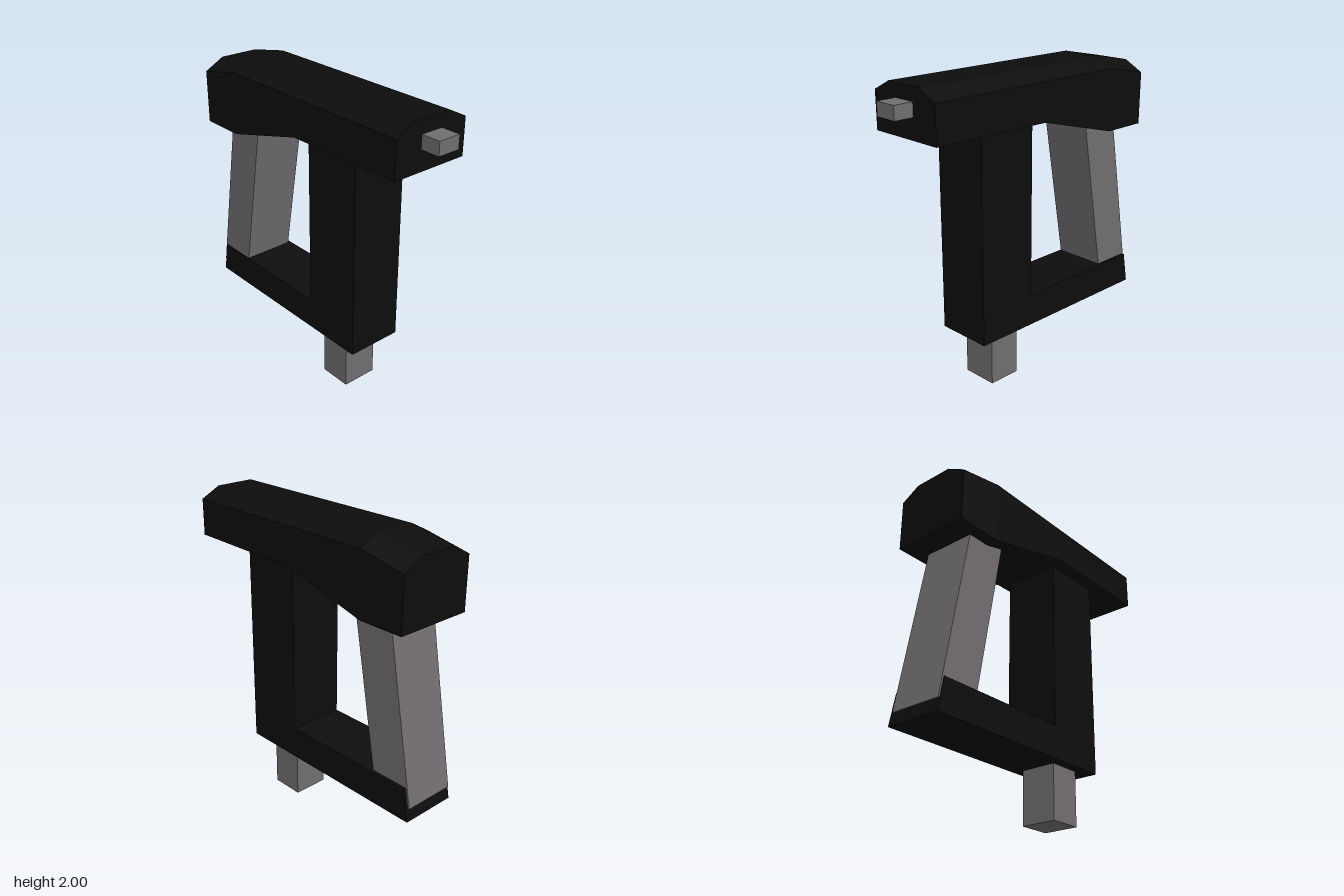
import * as THREE from 'three';

const black = new THREE.MeshStandardMaterial({ color: 0x0d0d0d, flatShading: true });
const grey = new THREE.MeshStandardMaterial({ color: 0x716d70, flatShading: true });

function add(group, name, geometry, material) {
  const mesh = new THREE.Mesh(geometry, material);
  mesh.name = name;
  group.add(mesh);
}

// Side profile given as [z, y] points, spanning x from x0 to x1
function sideExtrude(points, x0, x1) {
  const shape = new THREE.Shape(points.map(([z, y]) => new THREE.Vector2(z, y)));
  const geo = new THREE.ExtrudeGeometry(shape, { depth: x1 - x0, bevelEnabled: false });
  return geo.rotateY(-Math.PI / 2).translate(x1, 0, 0);
}

function box(x, y0, y1, z0, z1) {
  return new THREE.BoxGeometry(2 * x, y1 - y0, z1 - z0).translate(0, (y0 + y1) / 2, (z0 + z1) / 2);
}

// Six-sided chamfered section lofted from front to back
function headGeometry() {
  const sections = [ // z, bottom, shoulder, top
    [0.83, 1.7, 1.935, 2], [0, 1.69, 1.935, 2],
    [-0.6, 1.53, 1.935, 2], [-0.905, 1.53, 1.87, 1.94],
  ];
  const pos = [], index = [], n = 6, last = (sections.length - 1) * n;
  for (const [z, b, s, t] of sections) {
    pos.push(-0.26, b, z, 0.26, b, z, 0.26, s, z, 0.13, t, z, -0.13, t, z, -0.26, s, z);
  }
  for (let r = 0; r < last; r += n) {
    for (let i = 0; i < n; i++) {
      const a = r + i, b = r + (i + 1) % n;
      index.push(a, a + n, b, b, a + n, b + n);
    }
  }
  for (let i = 1; i < n - 1; i++) {
    index.push(0, i, i + 1, last, last + i + 1, last + i);
  }
  const geo = new THREE.BufferGeometry();
  geo.setAttribute('position', new THREE.Float32BufferAttribute(pos, 3));
  geo.setIndex(index);
  const flat = geo.toNonIndexed();
  flat.computeVertexNormals();
  return flat;
}

export function createModel() {
  const model = new THREE.Group();
  model.name = 'compactTool';

  add(model, 'head', headGeometry(), black);
  add(model, 'nozzle', box(0.075, 1.83, 1.915, 0.8, 0.955), grey);

  // Upright column and the foot running back from it
  add(model, 'columnAndFoot', sideExtrude([
    [0.45, 0.35], [0.45, 1.72], [0.04, 1.72], [0.04, 0.56], [-0.91, 0.56], [-0.95, 0.35],
  ], -0.185, 0.19), black);

  // Slanted rear grip, standing slightly proud of the back of the foot
  add(model, 'rearGrip', sideExtrude([
    [-0.465, 1.6], [-0.668, 0.46], [-0.945, 0.43], [-0.738, 1.6],
  ], -0.18, 0.17), grey);

  add(model, 'lowerPlug', box(0.12, 0, 0.4, 0.1, 0.32), grey);
  return model;
}
